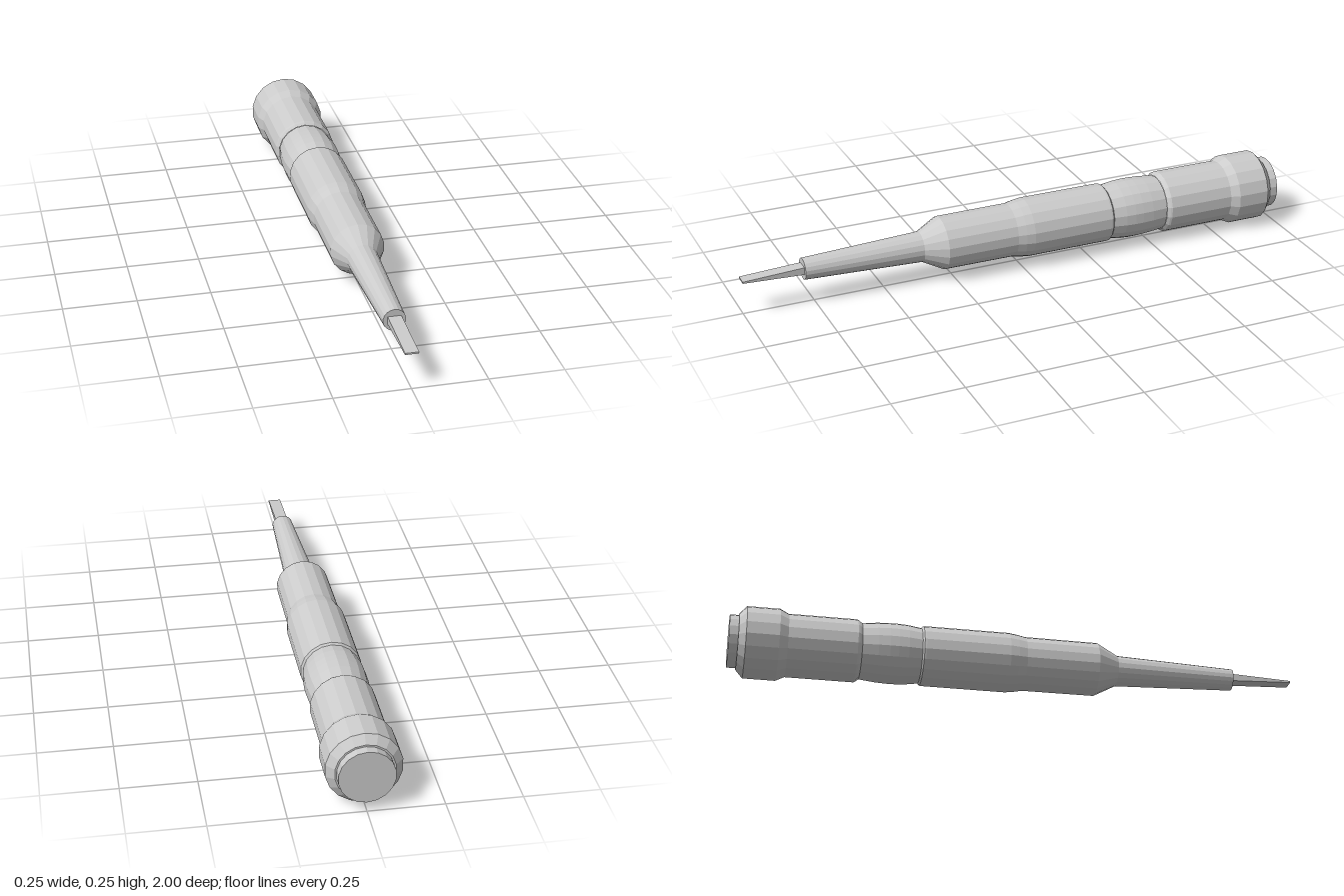
import * as THREE from 'three';

const SIDES = 18;
const AXIS_Y = 0.124;

export function createModel() {
  const model = new THREE.Group();
  const material = new THREE.MeshStandardMaterial({ color: 0xcccccc, flatShading: true });

  const add = (name, geometry) => {
    const mesh = new THREE.Mesh(geometry, material);
    mesh.name = name;
    mesh.position.y = AXIS_Y;
    model.add(mesh);
  };

  // Turned part along z from [z, radius] pairs, listed back to front
  const turned = (name, profile) => {
    const points = profile.map(([z, r]) => new THREE.Vector2(r, z));
    add(name, new THREE.LatheGeometry(points, SIDES).rotateX(Math.PI / 2));
  };

  turned('endCap', [[-1, 0], [-1, 0.092], [-0.965, 0.092]]);

  turned('handleHead', [
    [-0.968, 0.09], [-0.968, 0.098], [-0.943, 0.125], [-0.83, 0.125], [-0.8, 0.11],
  ]);

  turned('rearGrip', [[-0.8, 0.11], [-0.562, 0.11], [-0.556, 0.107], [-0.546, 0.099]]);

  // Gently bulging waist between the two grips
  turned('waist', [
    [-0.546, 0.098], [-0.49, 0.104], [-0.45, 0.106], [-0.42, 0.106], [-0.385, 0.104], [-0.338, 0.097],
  ]);

  turned('frontGrip', [
    [-0.338, 0.097], [-0.332, 0.104], [-0.325, 0.105], [-0.03, 0.105],
    [0, 0.101], [0.03, 0.095], [0.287, 0.094], [0.363, 0.054],
  ]);

  turned('shank', [[0.363, 0.054], [0.785, 0.038], [0.785, 0]]);

  // Flat blade thinning towards its tip
  const blade = new THREE.BoxGeometry(0.045, 0.027, 0.225);
  const p = blade.attributes.position;
  for (let i = 0; i < p.count; i++) {
    if (p.getZ(i) > 0) p.setY(i, p.getY(i) * 0.22);
  }
  blade.translate(0, 0.001, 0.8875);
  add('blade', blade);

  return model;
}
